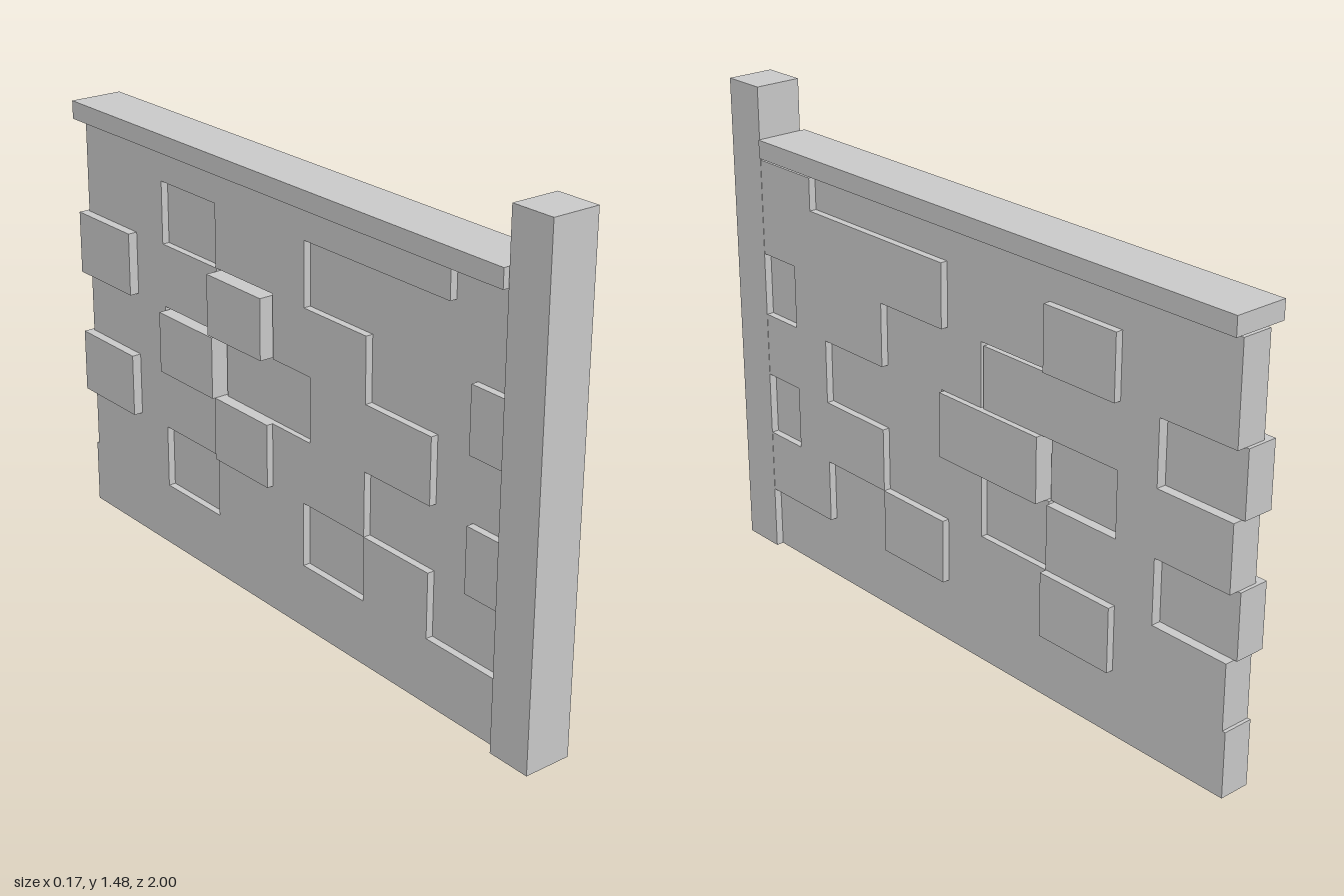
import * as THREE from 'three';

const BACK = -0.042, FACE = 0.052; // plain wall faces in x
const OUT = 0.022, IN = -0.029;    // bricks pushed out or in

// Courses: [bottom, top, bricks]; each brick is [z start, z end, x shift, top gap, extra depth]
const COURSES = [
  [0, 0.196, [[0.87, 0.72, 0], [0.72, -0.08, 0], [-0.08, -0.735, 0], [-0.735, -1, 0]]],
  [0.196, 0.39, [[0.87, 0.58, OUT], [0.58, 0.32, 0], [0.32, 0.06, OUT], [0.06, -0.34, 0],
    [-0.34, -0.6, OUT], [-0.6, -0.99, 0]]],
  [0.39, 0.583, [[0.87, 0.72, 0], [0.72, 0.32, OUT], [0.32, -0.08, 0], [-0.08, -0.327, -0.02],
    [-0.338, -0.735, 0], [-0.735, -1, IN]]],
  [0.583, 0.778, [[0.87, 0.58, OUT], [0.58, 0.088, 0], [0.077, -0.315, OUT * 0.8],
    [-0.325, -0.585, IN, 0.008], [-0.596, -0.99, 0]]],
  [0.778, 0.97, [[0.87, 0.72, 0], [0.72, 0.32, OUT], [0.32, -0.077, 0], [-0.087, -0.335, 0, 0.009, 0.036],
    [-0.335, -0.735, 0], [-0.735, -1, IN]]],
  [0.97, 1.16, [[0.87, 0.06, OUT], [0.06, -0.34, 0], [-0.34, -0.6, OUT], [-0.6, -0.99, 0]]],
  [1.16, 1.258, [[0.87, 0.635, OUT], [0.635, 0.005, 0], [0.005, -0.34, 0], [-0.34, -0.65, 0],
    [-0.65, -0.99, 0]]],
];

const material = new THREE.MeshStandardMaterial({ color: 0xcccccc, flatShading: true });

// Box given by its two extreme corners
function block(name, x0, x1, y0, y1, z0, z1) {
  const mesh = new THREE.Mesh(new THREE.BoxGeometry(x1 - x0, y1 - y0, z1 - z0), material);
  mesh.position.set((x0 + x1) / 2, (y0 + y1) / 2, (z0 + z1) / 2);
  mesh.name = name;
  return mesh;
}

export function createModel() {
  const model = new THREE.Group();
  model.name = 'stoneWall';

  // End post and coping slab
  model.add(block('endPost', -0.07, 0.075, 0, 1.475, 0.865, 1));
  model.add(block('coping', -0.085, 0.081, 1.265, 1.32, -0.992, 0.862));

  // Staggered stone courses
  COURSES.forEach(([bottom, top, bricks], i) => {
    const course = new THREE.Group();
    course.name = `course${i + 1}`;
    for (const [zStart, zEnd, shift, gap = 0, extra = 0] of bricks) {
      course.add(block('stone', BACK + shift - extra, FACE + shift, bottom, top - gap, zEnd, zStart));
    }
    model.add(course);
  });
  return model;
}
